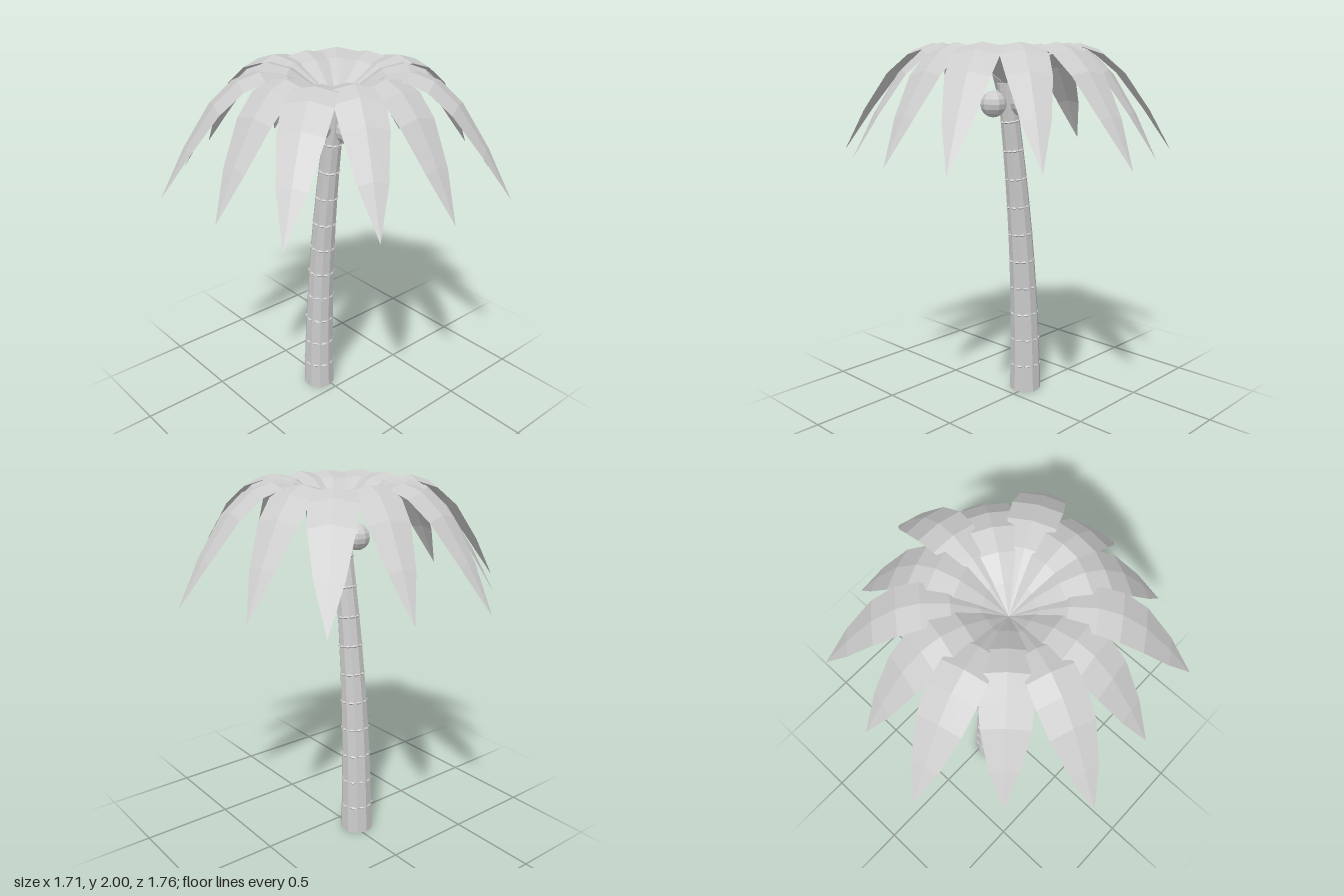
import * as THREE from 'three';

const grey = new THREE.MeshStandardMaterial({ color: 0xcccccc, flatShading: true, side: THREE.DoubleSide });
grey.name = 'light grey';

const CROWN = { x: 0.033, y: 1.79, z: 0.024 };
const TRUNK_HEIGHT = 1.79;

// Lean of the trunk: x offset and radius at a given height
const trunkX = (y) => -0.128 + 0.161 * (y / TRUNK_HEIGHT) ** 2;
const trunkSlope = (y) => (0.322 * y) / TRUNK_HEIGHT ** 2;
const trunkRadius = (y) => 0.0925 - 0.0445 * (y / TRUNK_HEIGHT);

function add(group, name, geometry) {
  const mesh = new THREE.Mesh(geometry, grey);
  mesh.name = name;
  group.add(mesh);
  return mesh;
}

// Ten-sided tapering trunk, bent towards +x
function trunkGeometry() {
  const g = new THREE.CylinderGeometry(
    trunkRadius(TRUNK_HEIGHT), trunkRadius(0), TRUNK_HEIGHT, 10, 11, false, Math.PI / 2);
  g.translate(0, TRUNK_HEIGHT / 2, 0);
  const p = g.attributes.position;
  for (let i = 0; i < p.count; i++) p.setX(i, p.getX(i) + trunkX(p.getY(i)));
  g.computeVertexNormals();
  return g;
}

// Frond stations along its length: [distance out, height, half width]
const STATIONS = [
  [0, 1.79, 0.012], [0.13, 1.895, 0.055], [0.26, 1.975, 0.092], [0.39, 2.0, 0.115],
  [0.5, 1.965, 0.121], [0.62, 1.865, 0.112], [0.77, 1.66, 0.072], [0.915, 1.42, 0],
];

// Leaf sheet with a raised midrib and slightly drooping edges, pointing along +x
function frondGeometry(stretch) {
  const positions = [];
  const index = [];
  STATIONS.forEach(([r, y, w], i) => {
    for (const side of [-1, 0, 1]) {
      positions.push(r * stretch, y - Math.abs(side) * w * 0.2, side * w);
    }
    if (i === 0) return;
    for (let k = 0; k < 2; k++) {
      const a = (i - 1) * 3 + k;
      const b = a + 3;
      index.push(a, a + 1, b);
      if (w > 0) index.push(a + 1, b + 1, b);
      else index.push(a + 1, b + 1, b);
    }
  });
  const g = new THREE.BufferGeometry();
  g.setAttribute('position', new THREE.Float32BufferAttribute(positions, 3));
  g.setIndex(index);
  g.computeVertexNormals();
  return g;
}

export function createModel() {
  const model = new THREE.Group();
  model.name = 'palmTree';

  // Trunk with thin growth rings
  const trunk = new THREE.Group();
  trunk.name = 'trunk';
  model.add(trunk);
  add(trunk, 'trunkStem', trunkGeometry()).position.z = CROWN.z;
  for (let i = 1; i <= 10; i++) {
    const y = i * 0.159;
    const ringShape = new THREE.TorusGeometry(trunkRadius(y) * 0.95, 0.008, 4, 10);
    ringShape.rotateZ(Math.PI / 10);
    ringShape.rotateX(Math.PI / 2);
    const ring = add(trunk, 'trunkRing', ringShape);
    ring.position.set(trunkX(y), y, CROWN.z);
    ring.rotation.z = -Math.atan(trunkSlope(y));
  }

  // Three coconuts under the crown
  const nut = new THREE.SphereGeometry(0.07, 10, 8);
  for (let i = 0; i < 3; i++) {
    const a = (i * Math.PI * 2) / 3;
    add(model, 'coconut', nut).position.set(
      CROWN.x + Math.cos(a) * 0.095, 1.685, CROWN.z + Math.sin(a) * 0.095);
  }

  // Thirteen fronds, alternating short and long
  const crown = new THREE.Group();
  crown.name = 'crown';
  crown.position.set(CROWN.x, 0, CROWN.z);
  model.add(crown);
  const longFrond = frondGeometry(1);
  const shortFrond = frondGeometry(0.9);
  for (let i = 0; i < 13; i++) {
    const isLong = i > 0 && i % 2 === 0;
    add(crown, 'frond', isLong ? longFrond : shortFrond).rotation.y = (-i * Math.PI * 2) / 13;
  }
  return model;
}
